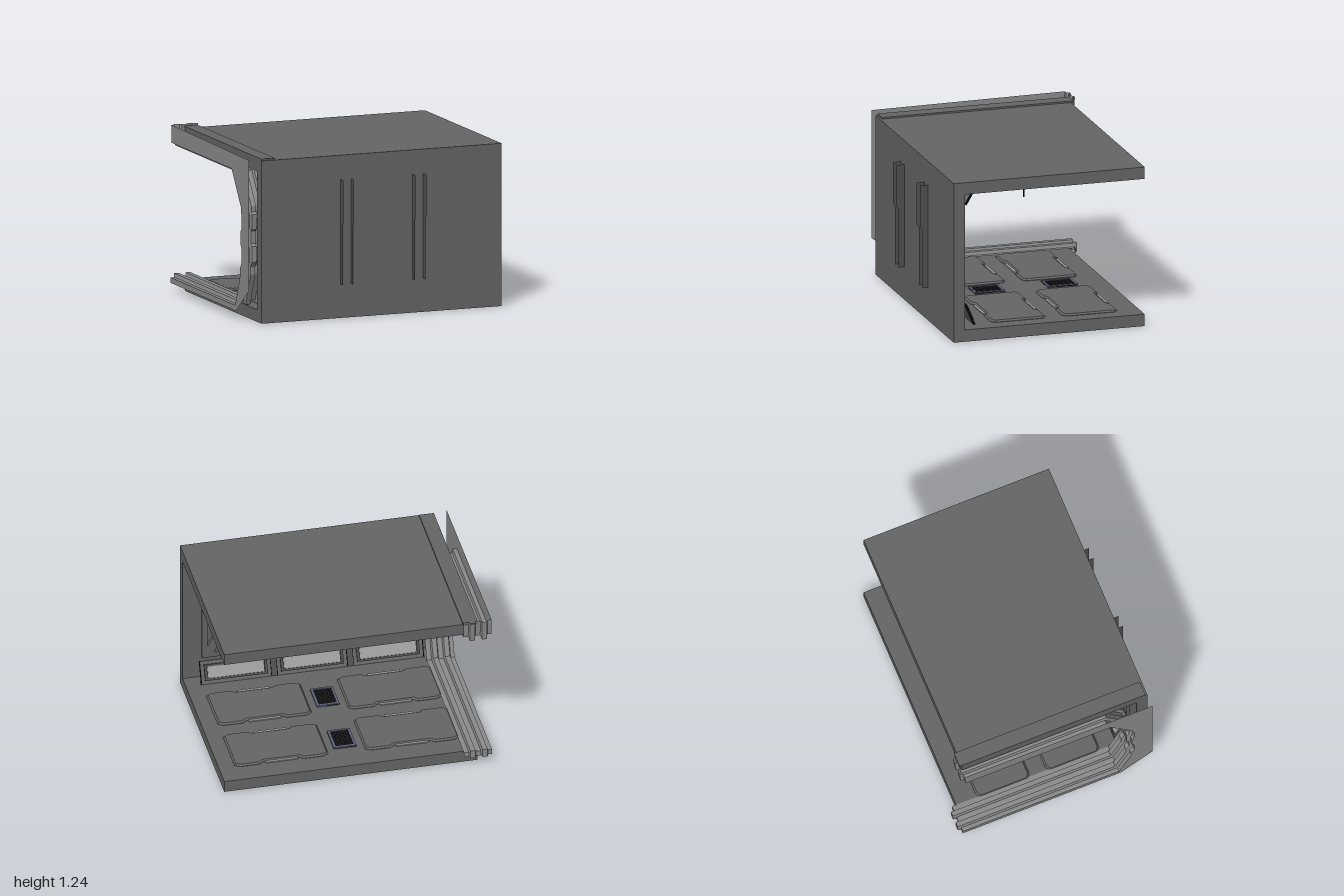
import * as THREE from 'three';

const mat = (name, color) => {
  const m = new THREE.MeshStandardMaterial({ color, side: THREE.DoubleSide });
  m.name = name;
  return m;
};

export function createModel() {
  const root = new THREE.Group();
  root.name = 'corridorSection';
  const hull = mat('hull grey', 0x666666);
  const rib = mat('rib grey', 0x8c8c8c);
  const trim = mat('trim dark grey', 0x505050);
  const light = mat('window light grey', 0xa0a0a0);
  const blue = mat('vent frame blue grey', 0x62657e);
  const black = mat('black', 0x080808);
  const mesh = 0x26262a;
  const grille = mat('grille charcoal', mesh);

  const add = (name, geo, m, parent = root) => {
    const o = new THREE.Mesh(geo, m);
    o.name = name;
    parent.add(o);
    return o;
  };
  const box = (name, m, w, h, d, x, y, z, parent = root) => {
    const o = add(name, new THREE.BoxGeometry(w, h, d), m, parent);
    o.position.set(x, y, z);
    return o;
  };
  const group = (name, x, y, z, parent = root) => {
    const g = new THREE.Group();
    g.name = name;
    g.position.set(x, y, z);
    parent.add(g);
    return g;
  };
  const shapeOf = pts => new THREE.Shape(pts.map(p => new THREE.Vector2(p[0], p[1])));

  // C-shaped shell: floor, front wall and ceiling, drawn as (z, y)
  const shell = new THREE.ExtrudeGeometry(shapeOf([
    [-0.73, 0], [0.735, 0], [0.735, 1.21], [-0.73, 1.21],
    [-0.73, 1.12], [0.65, 1.12], [0.65, 0.09], [-0.73, 0.09]]), { depth: 1.9, bevelEnabled: false });
  shell.rotateY(-Math.PI / 2).translate(1, 0, 0);
  add('shell', shell, hull);
  box('roofEdgeStrip', hull, 0.11, 0.012, 1.47, -0.845, 1.216, -0.015);

  // Corrugated end rib: a stepped section swept along the inside (z, y)
  const path = [[-0.775, 1.235], [-0.765, 1.08], [0.39, 1.08], [0.555, 0.84], [0.555, 0.8],
    [0.57, 0.78], [0.563, 0.69], [0.547, 0.67], [0.547, 0.56], [0.563, 0.54], [0.567, 0.44],
    [0.54, 0.4], [0.54, 0.34], [0.455, 0.125], [-0.79, 0.125], [-0.79, 0.06]];
  const section = [[-1, 0.025], [-0.97, 0.025], [-0.962, 0], [-0.925, 0], [-0.917, 0.025],
    [-0.88, 0.025], [-0.872, 0], [-0.835, 0], [-0.827, 0.025], [-0.79, 0.025]];
  const normal = (a, b) => {
    const l = Math.hypot(b[0] - a[0], b[1] - a[1]);
    return [(b[1] - a[1]) / l, -(b[0] - a[0]) / l];
  };
  const shifted = d => path.map((p, i) => {
    const n0 = normal(path[Math.max(i - 1, 0)], path[Math.max(i, 1)]);
    const last = path.length - 1;
    const n1 = normal(path[Math.min(i, last - 1)], path[Math.min(i + 1, last)]);
    const k = d / (1 + n0[0] * n1[0] + n0[1] * n1[1]);
    return [p[0] - (n0[0] + n1[0]) * k, p[1] - (n0[1] + n1[1]) * k];
  });
  const pos = [], idx = [];
  section.forEach(([x, d], j) => shifted(d).forEach(([z, y], i) => {
    pos.push(x, y, z);
    if (j && i) {
      const c = j * path.length + i, b = c - path.length;
      idx.push(b - 1, c - 1, b, c - 1, c, b);
    }
  }));
  let sheet = new THREE.BufferGeometry();
  sheet.setAttribute('position', new THREE.Float32BufferAttribute(pos, 3));
  sheet.setIndex(idx);
  sheet = sheet.toNonIndexed();
  sheet.computeVertexNormals();
  add('endRib', sheet, rib);

  // Flat flange closing the rib at its outer end
  const flange = new THREE.ShapeGeometry(shapeOf([...shifted(0.025),
    [0.485, 0.06], [0.735, 0.25], [0.735, 1.222]]));
  flange.rotateY(-Math.PI / 2).translate(-1, 0, 0);
  add('endFlange', flange, rib);

  // Wall columns with thin side fins that pass through the wall
  for (const x of [-0.235, 0.336]) {
    box('wallColumn', trim, 0.06, 0.78, 0.03, x, 0.64, 0.635);
    for (const s of [-1, 1]) {
      const fin = new THREE.ShapeGeometry(shapeOf([[0.61, 0.25], [0.78, 0.25], [0.78, 0.69],
        [0.798, 0.72], [0.798, 1.03], [0.62, 1.03], [0.62, 0.85], [0.635, 0.82],
        [0.635, 0.7], [0.61, 0.67]]));
      fin.rotateY(-Math.PI / 2).translate(x + s * 0.042, 0, 0);
      add('columnFin', fin, trim);
    }
    for (let i = 0; i < 4; i++) box('columnRung', hull, 0.07, 0.03, 0.02, x, 0.45 + i * 0.07, 0.62);
  }

  // Cross-braced wall panel with four triangular openings
  const brace = shapeOf([[-0.24, -0.37], [0.24, -0.37], [0.24, 0.37], [-0.24, 0.37]]);
  const tri = pts => brace.holes.push(new THREE.Path(pts.map(p => new THREE.Vector2(...p))));
  for (const s of [-1, 1]) {
    tri([[-0.15, s * 0.33], [0.15, s * 0.33], [0.03, s * 0.1], [-0.03, s * 0.1]]);
    tri([[s * 0.2, -0.27], [s * 0.2, 0.27], [s * 0.06, 0.03], [s * 0.06, -0.03]]);
  }
  const braceGeo = new THREE.ExtrudeGeometry(brace, { depth: 0.025, bevelEnabled: false });

  // Sloping panel with a framed window
  const slope = (x, y, z, h, tilt) => {
    const g = group('slopedPanel', x, y, z);
    g.rotation.x = tilt;
    box('panelBody', hull, 0.52, h, 0.01, 0, 0, 0, g);
    for (const s of [-1, 1]) {
      box('panelEdge', black, 0.006, h, 0.016, s * 0.263, 0, 0, g);
      box('windowFrameSide', trim, 0.02, h * 0.66, 0.016, s * 0.225, 0, -0.01, g);
      box('windowFrameRail', trim, 0.47, 0.016, 0.016, 0, s * h * 0.3, -0.01, g);
    }
    box('window', light, 0.42, h * 0.52, 0.006, 0, 0, -0.008, g);
  };
  for (const x of [-0.52, 0.05, 0.62]) {
    add('crossBracePanel', braceGeo, hull).position.set(x, 0.635, 0.626);
    slope(x, 0.17, 0.575, 0.175, 0.41);
    slope(x, 1.062, 0.575, 0.13, -0.53);
  }
  for (const x of [-0.235, 0.336]) {
    box('lowerStrut', trim, 0.04, 0.175, 0.03, x, 0.17, 0.58).rotation.x = 0.41;
    box('upperStrut', trim, 0.04, 0.13, 0.03, x, 1.062, 0.58).rotation.x = -0.53;
  }

  // Raised floor plates with notched, bevelled long edges
  const half = [[-0.34, 0.18], [-0.31, 0.2], [-0.17, 0.2], [-0.14, 0.175],
    [0.14, 0.175], [0.17, 0.2], [0.31, 0.2], [0.34, 0.18]];
  const outline = [...half, ...half.map(([x, z]) => [-x, -z])];
  const plate = new THREE.ExtrudeGeometry(shapeOf(outline), {
    depth: 0.002, bevelThickness: 0.012, bevelSize: 0.012, bevelSegments: 1 });
  plate.rotateX(-Math.PI / 2);
  for (const x of [0.53, -0.45]) for (const z of [0.195, -0.355]) {
    add('floorPlate', plate, hull).position.set(x, 0.091, z);
    for (const s of [-1, 1]) box('plateEdgeStrip', light, 0.24, 0.008, 0.02, x, 0.094, z + s * 0.197);
  }
  add('ceilingPlate', plate, hull).position.set(-0.35, 1.108, 0.27);

  // Vents: frame, black recess and a lattice of bars
  const vent = (name, x, y, z, w, d, n, m, b) => {
    const g = group(name, x, y, z);
    box('ventBack', black, w, 0.006, d, 0, 0, 0, g);
    for (const s of [-1, 1]) {
      box('ventFrame', blue, b, 0.016, d, s * (w - b) / 2, 0, 0, g);
      box('ventFrame', blue, w - 2 * b, 0.016, b, 0, 0, s * (d - b) / 2, g);
    }
    for (let i = 1; i < n; i++) box('grilleBar', grille, 0.004, 0.01, d - 2 * b, (i / n - 0.5) * (w - 2 * b), 0, 0, g);
    for (let i = 1; i < m; i++) box('grilleBar', grille, w - 2 * b, 0.01, 0.004, 0, 0, (i / m - 0.5) * (d - 2 * b), g);
  };
  vent('floorVent', 0.04, 0.095, 0.18, 0.17, 0.23, 8, 11, 0.018);
  vent('floorVent', 0.04, 0.095, -0.38, 0.17, 0.23, 8, 11, 0.018);
  vent('ceilingVent', 0.675, 1.115, 0, 0.4, 0.68, 12, 22, 0.045);
  vent('ceilingVent', -0.33, 1.115, -0.27, 0.68, 0.4, 22, 12, 0.045);

  // Hanging cables
  const cables = [
    [[0.57, 1.11, 0.08], [0.5, 1.03, 0.06], [0.25, 0.975, -0.03], [0, 1.02, -0.15], [-0.11, 1.11, -0.2]],
    [[0.56, 1.11, 0.06], [0.48, 1.03, 0.045], [0.26, 0.985, -0.01], [0.03, 1.04, -0.08], [-0.06, 1.11, -0.11]],
    [[0.56, 1.11, 0.085], [0.5, 1.04, 0.06], [0.42, 0.99, 0.01], [0.375, 0.95, 0], [0.37, 0.875, 0]]];
  for (const c of cables) {
    const curve = new THREE.CatmullRomCurve3(c.map(p => new THREE.Vector3(...p)));
    add('cable', new THREE.TubeGeometry(curve, 32, 0.006, 8), black);
  }
  return root;
}
